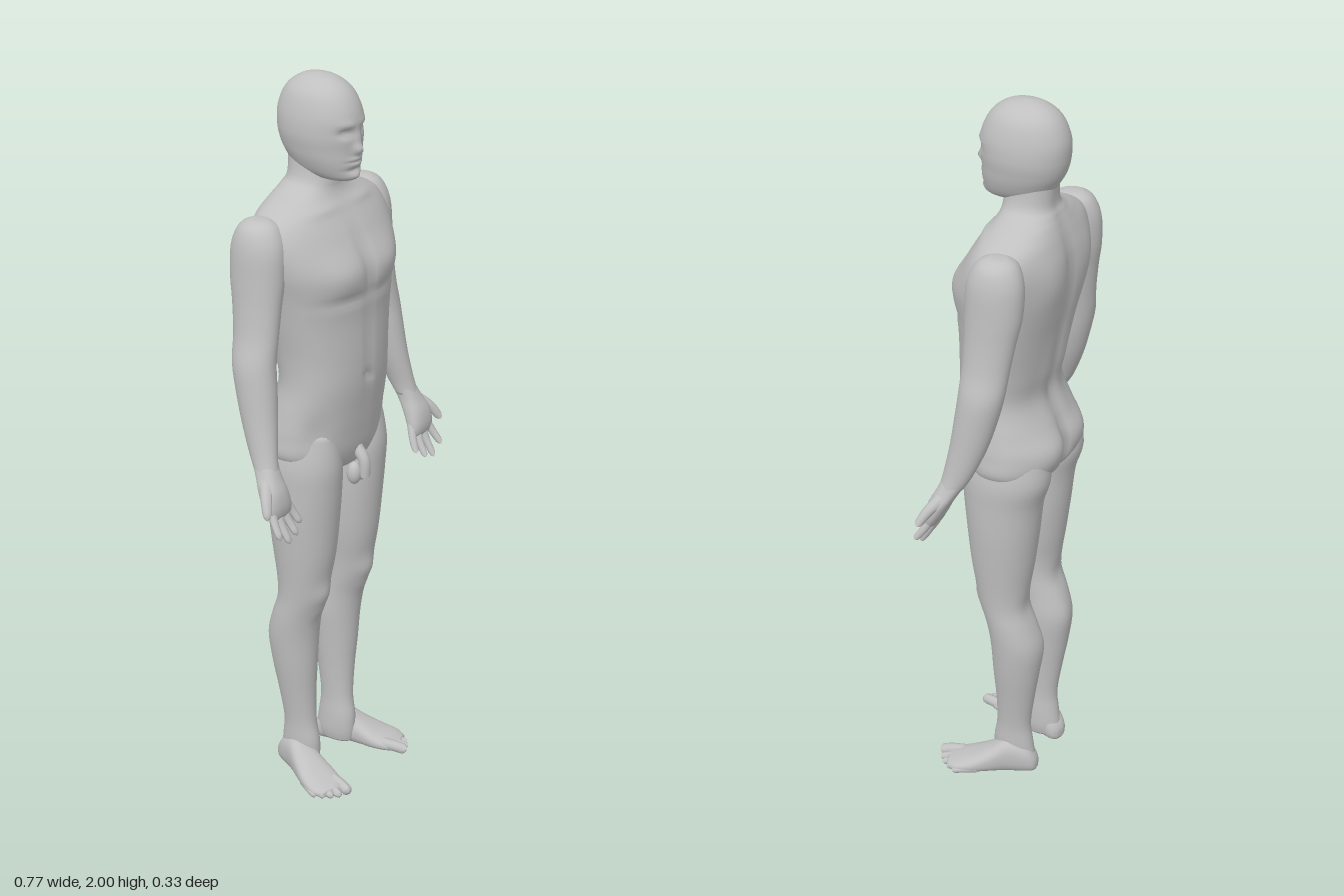
import * as THREE from 'three';

const skin = new THREE.MeshStandardMaterial({ color: 0xc0c0c0 });
skin.name = 'plainGrey';

const spline = (a, b, c, d, t) =>
  b + 0.5 * t * (c - a + t * (2 * a - 5 * b + 4 * c - d + t * (3 * (b - c) + d - a)));

// Smooth closed body from horizontal rows, top to bottom: [y, centreX, halfWidth, zFront, zBack]
function loft(rows, { seg = 36, sub = 4, power = 2 } = {}) {
  const rings = [], pos = [], idx = [];
  const row = i => rows[Math.min(Math.max(i, 0), rows.length - 1)];
  for (let i = 0; i < rows.length - 1; i++)
    for (let s = 0; s < sub; s++)
      rings.push(row(i).map((v, k) => spline(row(i - 1)[k], v, row(i + 1)[k], row(i + 2)[k], s / sub)));
  rings.push(rows[rows.length - 1]);
  const round = v => Math.sign(v) * Math.abs(v) ** (2 / power);
  for (const [y, cx, rx, zf, zb] of rings)
    for (let j = 0; j < seg; j++) {
      const a = j / seg * Math.PI * 2;
      pos.push(cx + rx * round(Math.sin(a)), y, (zf + zb) / 2 + (zf - zb) / 2 * round(Math.cos(a)));
    }
  for (let i = 0; i < rings.length - 1; i++)
    for (let j = 0; j < seg; j++) {
      const k = (j + 1) % seg, a = i * seg + j, b = a + seg, c = (i + 1) * seg + k, d = i * seg + k;
      idx.push(a, b, c, a, c, d);
    }
  // end caps
  const first = rings[0], last = rings[rings.length - 1], n = pos.length / 3;
  for (const r of [first, last]) pos.push(r[1], r[0], (r[3] + r[4]) / 2);
  for (let j = 0; j < seg; j++) {
    const k = (j + 1) % seg, base = n - seg;
    idx.push(n, j, k, n + 1, base + k, base + j);
  }
  const g = new THREE.BufferGeometry();
  g.setAttribute('position', new THREE.Float32BufferAttribute(pos, 3));
  g.setIndex(idx);
  g.computeVertexNormals();
  return g;
}

// Raise or sink soft spots: [side (+1 front, -1 back), |x|, y, spreadX, spreadY, amount outward]
function sculpt(g, z0, spots) {
  const p = g.attributes.position;
  for (let i = 0; i < p.count; i++) {
    const x = Math.abs(p.getX(i)), y = p.getY(i), z = p.getZ(i);
    let dz = 0;
    for (const [side, bx, by, sx, sy, amount] of spots) {
      const w = Math.min(Math.max((z - z0) * side / 0.06, 0), 1);
      dz += side * w * amount * Math.exp(-(((x - bx) / sx) ** 2) - ((y - by) / sy) ** 2);
    }
    p.setZ(i, z + dz);
  }
  g.computeVertexNormals();
  return g;
}

// Tapered finger or toe with a rounded tip
function digit(points, r0, r1) {
  const curve = new THREE.CatmullRomCurve3(points.map(p => new THREE.Vector3(...p)));
  const n = 16, m = 10, g = new THREE.TubeGeometry(curve, n, 1, m, false);
  const p = g.attributes.position, v = new THREE.Vector3();
  for (let i = 0; i <= n; i++) {
    const t = i / n, c = curve.getPointAt(t), e = Math.max((t - 0.8) / 0.2, 0);
    const r = (r0 + (r1 - r0) * t) * Math.sqrt(Math.max(1 - e * e, 0.0001));
    for (let j = 0; j <= m; j++) {
      const k = i * (m + 1) + j;
      v.fromBufferAttribute(p, k).sub(c).multiplyScalar(r).add(c);
      p.setXYZ(k, v.x, v.y, v.z);
    }
  }
  return g;
}

function mirrored(g) {
  const m = g.clone();
  m.scale(-1, 1, 1);
  const ix = m.index.array;
  for (let i = 0; i < ix.length; i += 3) [ix[i], ix[i + 1]] = [ix[i + 1], ix[i]];
  m.computeVertexNormals();
  return m;
}

export function createModel() {
  const model = new THREE.Group();
  model.name = 'figure';
  const add = (name, g) => {
    const mesh = new THREE.Mesh(g, skin);
    mesh.name = name;
    model.add(mesh);
  };
  const pair = (name, g) => {
    add('left' + name, g);
    add('right' + name, mirrored(g));
  };

  // Head with brow, eye sockets, nose, lips and chin
  add('head', sculpt(loft([
    [2.0, 0, 0.006, -0.028, -0.042], [1.99, 0, 0.038, 0.02, -0.085], [1.96, 0, 0.069, 0.06, -0.124],
    [1.91, 0, 0.086, 0.085, -0.146], [1.86, 0, 0.09, 0.087, -0.147], [1.82, 0, 0.084, 0.085, -0.138],
    [1.79, 0, 0.076, 0.085, -0.122], [1.76, 0, 0.062, 0.083, -0.1], [1.742, 0, 0.044, 0.077, -0.06],
    [1.732, 0, 0.015, 0.055, -0.01],
  ], { seg: 72, sub: 8, power: 2.1 }), -0.01, [
    [1, 0, 1.822, 0.012, 0.014, 0.017], [1, 0, 1.848, 0.009, 0.025, 0.009],
    [1, 0.035, 1.868, 0.017, 0.011, -0.012], [1, 0.034, 1.866, 0.008, 0.005, 0.005],
    [1, 0.03, 1.89, 0.025, 0.009, 0.004], [1, 0, 1.797, 0.022, 0.006, 0.006],
    [1, 0, 1.783, 0.02, 0.006, 0.005], [1, 0, 1.79, 0.026, 0.003, -0.004],
    [1, 0, 1.768, 0.03, 0.006, -0.006], [1, 0, 1.75, 0.022, 0.01, 0.007],
  ]));

  // Neck, chest, belly and hips
  add('torso', sculpt(loft([
    [1.82, 0, 0.06, 0.01, -0.118], [1.74, 0, 0.07, 0.022, -0.115], [1.71, 0, 0.098, 0.025, -0.125],
    [1.685, 0, 0.15, 0.036, -0.135], [1.65, 0, 0.21, 0.06, -0.147], [1.6, 0, 0.23, 0.09, -0.158],
    [1.53, 0, 0.222, 0.123, -0.161], [1.46, 0, 0.205, 0.13, -0.155], [1.38, 0, 0.19, 0.126, -0.138],
    [1.28, 0, 0.173, 0.128, -0.118], [1.2, 0, 0.17, 0.126, -0.104], [1.12, 0, 0.181, 0.116, -0.13],
    [1.06, 0, 0.189, 0.108, -0.15], [1.0, 0, 0.187, 0.098, -0.145], [0.955, 0, 0.13, 0.08, -0.115],
    [0.93, 0, 0.05, 0.045, -0.07],
  ], { seg: 72, sub: 6, power: 2.2 }), -0.01, [
    [1, 0.09, 1.51, 0.07, 0.05, 0.013], [1, 0, 1.53, 0.014, 0.08, -0.01],
    [1, 0.08, 1.445, 0.08, 0.015, -0.007], [1, 0, 1.3, 0.01, 0.12, -0.005],
    [1, 0, 1.215, 0.012, 0.012, -0.01], [1, 0.1, 1.672, 0.07, 0.012, 0.008],
    [1, 0.15, 1.08, 0.03, 0.05, -0.008], [-1, 0, 1.42, 0.022, 0.24, -0.016],
    [-1, 0.1, 1.56, 0.06, 0.08, 0.012], [-1, 0.045, 1.25, 0.025, 0.12, 0.005],
    [-1, 0.085, 1.05, 0.065, 0.06, 0.018], [-1, 0, 1.03, 0.016, 0.07, -0.028],
  ]));

  // Simplified groin
  add('groinFront', digit([[0, 1.0, 0.085], [0, 0.965, 0.112], [0, 0.91, 0.115]], 0.017, 0.015));
  const lobe = new THREE.SphereGeometry(1, 16, 12);
  lobe.scale(0.02, 0.032, 0.02).translate(0.016, 0.928, 0.092);
  pair('GroinLobe', lobe);

  // Arms
  pair('Arm', loft([
    [1.668, 0.212, 0.018, -0.035, -0.085], [1.65, 0.214, 0.048, -0.005, -0.113],
    [1.6, 0.221, 0.058, 0.018, -0.132], [1.52, 0.228, 0.056, 0.022, -0.132],
    [1.45, 0.238, 0.05, 0.02, -0.12], [1.37, 0.251, 0.047, 0.02, -0.108], [1.3, 0.266, 0.05, 0.022, -0.1],
    [1.23, 0.273, 0.048, 0.03, -0.084], [1.15, 0.283, 0.041, 0.04, -0.06],
    [1.07, 0.298, 0.031, 0.053, -0.026], [1.03, 0.305, 0.03, 0.062, -0.002],
  ]));

  // Palms facing forward
  pair('Palm', loft([
    [1.06, 0.299, 0.027, 0.05, -0.018], [1.02, 0.308, 0.032, 0.068, 0.006],
    [0.985, 0.314, 0.042, 0.085, 0.026], [0.95, 0.313, 0.045, 0.092, 0.044],
    [0.925, 0.31, 0.041, 0.09, 0.06], [0.915, 0.309, 0.03, 0.085, 0.068],
  ], { power: 2.4 }));

  // Fingers as base, middle and tip, little finger first
  [
    [[0.28, 0.95, 0.065], [0.265, 0.912, 0.082], [0.256, 0.88, 0.1]],
    [[0.298, 0.945, 0.066], [0.29, 0.9, 0.086], [0.285, 0.86, 0.112]],
    [[0.317, 0.945, 0.067], [0.319, 0.895, 0.088], [0.319, 0.85, 0.115]],
    [[0.337, 0.95, 0.067], [0.348, 0.91, 0.088], [0.356, 0.875, 0.113]],
  ].forEach((path, i) => pair('Finger' + (i + 1), digit(path, 0.0125, 0.009)));
  pair('Thumb', digit([[0.328, 1.005, 0.045], [0.36, 0.975, 0.07], [0.383, 0.935, 0.092]], 0.019, 0.01));

  // Legs with kneecap and calf
  pair('Leg', sculpt(loft([
    [1.07, 0.1, 0.07, 0.085, -0.135], [0.98, 0.098, 0.091, 0.098, -0.147],
    [0.9, 0.096, 0.092, 0.094, -0.125], [0.8, 0.095, 0.089, 0.085, -0.113],
    [0.7, 0.095, 0.08, 0.075, -0.1], [0.62, 0.097, 0.07, 0.06, -0.088], [0.56, 0.097, 0.066, 0.047, -0.088],
    [0.5, 0.097, 0.066, 0.03, -0.106], [0.43, 0.094, 0.065, 0.02, -0.124],
    [0.34, 0.092, 0.056, 0.015, -0.115], [0.25, 0.088, 0.045, 0.01, -0.1],
    [0.16, 0.084, 0.037, 0.01, -0.088], [0.1, 0.082, 0.038, 0.02, -0.094], [0.05, 0.08, 0.036, 0.02, -0.1],
    [0.02, 0.08, 0.03, 0.015, -0.095],
  ], { seg: 40 }), -0.03, [
    [1, 0.097, 0.58, 0.035, 0.035, 0.012], [1, 0.097, 0.525, 0.025, 0.02, 0.006],
    [-1, 0.065, 0.45, 0.025, 0.07, 0.005], [-1, 0.097, 0.56, 0.03, 0.04, -0.006],
  ]));

  // Feet run from toe to heel, turned outward; the loft is laid flat so its front becomes the sole
  const place = g => g.rotateY(0.33).translate(0.074, 0, -0.104);
  pair('Foot', place(loft([
    [0.25, 0.002, 0.035, -0.006, -0.026], [0.225, 0.006, 0.05, -0.002, -0.036],
    [0.18, 0.006, 0.053, 0, -0.052], [0.13, 0.006, 0.045, 0, -0.078], [0.08, 0.004, 0.037, 0, -0.106],
    [0.03, 0, 0.035, 0, -0.09], [0.005, 0, 0.026, -0.004, -0.06], [-0.004, 0, 0.01, -0.016, -0.04],
  ], { power: 2.4 }).rotateX(Math.PI / 2)));

  // Toes, big toe first
  [
    [-0.03, 0.278, 0.0165], [-0.004, 0.274, 0.012], [0.016, 0.265, 0.0115],
    [0.035, 0.252, 0.011], [0.051, 0.234, 0.0105],
  ].forEach(([x, z, r], i) => pair('Toe' + (i + 1), place(digit(
    [[x * 0.9, r + 0.008, z - 0.07], [x, r + 0.006, z - 0.03], [x, r, z]], r, r * 0.9))));

  return model;
}
